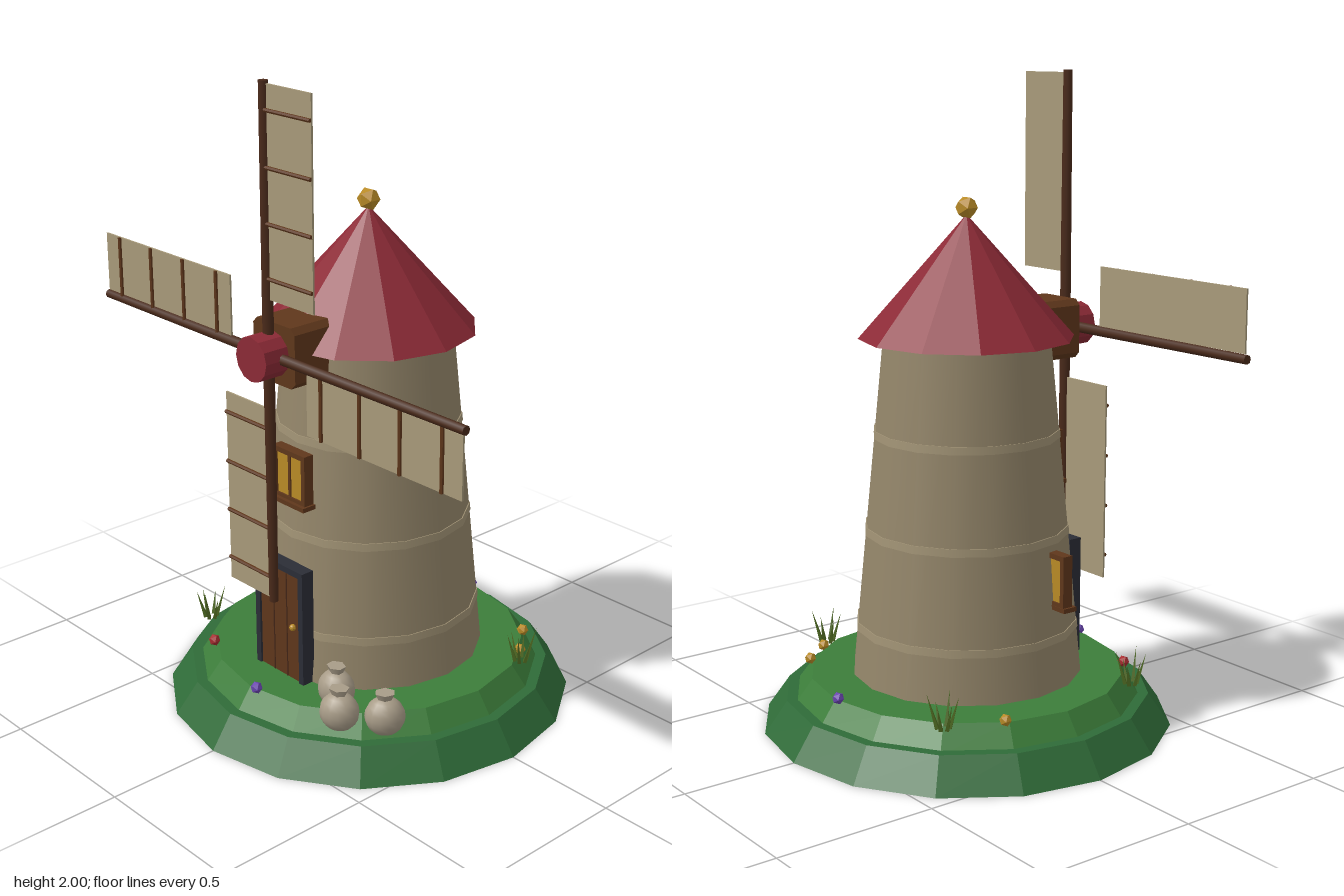
import * as THREE from 'three';

const mat = (color, extra = {}) => new THREE.MeshStandardMaterial({ color, ...extra });
const M = {
  grassDark: mat(0x2f6b38, { flatShading: true }),
  grass: mat(0x3c7d3a, { flatShading: true }),
  stone: mat(0x94866a),
  band: mat(0xa09274),
  roof: mat(0x8c2a36, { flatShading: true }),
  wood: mat(0x5f371b, { flatShading: true }),
  darkWood: mat(0x4a2a1a),
  cloth: mat(0xa89a7a, { side: THREE.DoubleSide }),
  iron: mat(0x2b2d36),
  gold: mat(0xb88a26, { flatShading: true }),
  sack: mat(0xa89c88),
  blade: mat(0x4f6a22, { flatShading: true, side: THREE.DoubleSide }),
  purple: mat(0x6a45b0, { flatShading: true }),
  red: mat(0xa82c30, { flatShading: true }),
};
const GROUND = 0.165;

function add(parent, name, geometry, material, x = 0, y = 0, z = 0) {
  const mesh = new THREE.Mesh(geometry, material);
  mesh.name = name;
  mesh.position.set(x, y, z);
  parent.add(mesh);
  return mesh;
}
function group(parent, name, x = 0, y = 0, z = 0) {
  const g = new THREE.Group();
  g.name = name;
  g.position.set(x, y, z);
  parent.add(g);
  return g;
}
const box = (w, h, d) => new THREE.BoxGeometry(w, h, d);
const cyl = (rt, rb, h, n, open = false) => new THREE.CylinderGeometry(rt, rb, h, n, 1, open);
const towerRadius = (y) => 0.358 - (y - GROUND) * 0.097;

// One sail: spar pointing up from the hub, cloth on its +x side
function addSail(parent, angle) {
  const sail = group(parent, 'sail');
  sail.rotation.z = angle;
  add(sail, 'spar', cyl(0.014, 0.017, 0.79, 8), M.darkWood, 0, 0.395, 0);
  add(sail, 'sailCloth', box(0.185, 0.615, 0.006), M.cloth, 0.108, 0.475, 0);
  for (let i = 0; i < 4; i++) {
    const slat = add(sail, 'slat', cyl(0.006, 0.006, 0.19, 6), M.wood, 0.105, 0.23 + i * 0.16, 0.006);
    slat.rotation.z = Math.PI / 2;
  }
}

// Window with frame bars, glowing pane, mullion and sill
function addWindow(parent, x, y, z) {
  const w = group(parent, 'window', x, y, z);
  add(w, 'pane', box(0.125, 0.14, 0.022), M.gold);
  for (const s of [-1, 1]) {
    add(w, 'frameSide', box(0.016, 0.16, 0.034), M.wood, s * 0.064, 0, 0);
    add(w, 'frameRail', box(0.144, 0.016, 0.034), M.wood, 0, s * 0.074, 0);
  }
  add(w, 'mullion', box(0.01, 0.14, 0.03), M.wood);
  add(w, 'sill', box(0.158, 0.014, 0.048), M.wood, 0, -0.084, 0.005);
}

// Tied sack with a flared neck
function addSack(parent, x, z, turn) {
  const s = group(parent, 'sack', x, GROUND + 0.06, z);
  s.rotation.y = turn;
  s.scale.z = 0.85;
  add(s, 'sackBody', new THREE.SphereGeometry(0.06, 14, 10), M.sack);
  add(s, 'sackNeck', cyl(0.031, 0.02, 0.025, 6), M.sack, 0, 0.064, 0);
}

// Tuft of narrow leaning blades
function addTuft(parent, x, z) {
  const t = group(parent, 'grassTuft', x, GROUND, z);
  for (let i = 0; i < 6; i++) {
    const h = 0.075 + 0.035 * ((i * 3) % 4) / 3;
    const blade = new THREE.ConeGeometry(0.008, h, 4).translate(0, h / 2, 0);
    const a = i * 1.05;
    const b = add(t, 'grassBlade', blade, M.blade, Math.cos(a) * 0.018, 0, Math.sin(a) * 0.018);
    b.rotation.set(Math.sin(a) * 0.28, 0, -Math.cos(a) * 0.28);
  }
}

export function createModel() {
  const root = new THREE.Group();
  root.name = 'windmill';

  // Two-tier grassy mound
  add(root, 'moundBase', cyl(0.57, 0.64, 0.1, 16), M.grassDark, 0, 0.05, 0);
  add(root, 'moundTop', cyl(0.49, 0.545, 0.075, 16), M.grass, 0, 0.1265, 0);

  // Tapered tower with slightly raised stone bands
  const top = 1.215;
  add(root, 'tower', cyl(towerRadius(top), towerRadius(GROUND), top - GROUND, 16), M.stone, 0, (top + GROUND) / 2, 0);
  for (const y of [0.32, 0.62, 0.92]) {
    add(root, 'stoneBand', cyl(towerRadius(y + 0.012) + 0.003, towerRadius(y - 0.012) + 0.003, 0.024, 16), M.band, 0, y, 0);
  }

  // Roof and finial
  add(root, 'roof', new THREE.ConeGeometry(0.33, 0.37, 12), M.roof, 0, 1.395, 0);
  add(root, 'finial', new THREE.IcosahedronGeometry(0.036, 0), M.gold, 0, 1.6, 0);

  // Chamfered axle housing
  const c = 0.018, h = 0.092;
  const outline = new THREE.Shape([
    [-h + c, -h], [h - c, -h], [h, -h + c], [h, h - c],
    [h - c, h], [-h + c, h], [-h, h - c], [-h, -h + c],
  ].map(([x, y]) => new THREE.Vector2(x, y)));
  const housing = new THREE.ExtrudeGeometry(outline, { depth: 0.14, bevelEnabled: false });
  add(root, 'axleHousing', housing, M.wood, 0, 1.21, 0.23);

  // Rotor: hub and four sails
  const rotor = group(root, 'rotor', 0, 1.21, 0.39);
  const hub = add(rotor, 'hub', cyl(0.068, 0.068, 0.085, 12), M.roof, 0, 0, 0.023);
  hub.rotation.x = Math.PI / 2;
  for (let i = 0; i < 4; i++) addSail(rotor, (-i * Math.PI) / 2);

  // Door with iron surround
  const door = group(root, 'door', 0, GROUND, 0.35);
  add(door, 'doorPanel', box(0.18, 0.355, 0.03), M.wood, 0, 0.1775, 0);
  for (const s of [-1, 1]) {
    add(door, 'doorJamb', box(0.02, 0.375, 0.044), M.iron, s * 0.1, 0.1875, 0);
    add(door, 'doorGroove', box(0.004, 0.35, 0.004), M.darkWood, s * 0.03, 0.175, 0.015);
  }
  add(door, 'doorLintel', box(0.22, 0.02, 0.044), M.iron, 0, 0.365, 0);
  add(door, 'doorKnob', new THREE.SphereGeometry(0.011, 8, 6), M.gold, 0.062, 0.18, 0.02);

  addWindow(root, 0, 0.81, 0.307);
  addWindow(root, -0.295, 0.505, 0.1);

  // Sacks
  addSack(root, 0.265, 0.375, 0.1);
  addSack(root, 0.367, 0.455, 0.5);
  addSack(root, 0.475, 0.375, 0.8);

  // Flowers and grass tufts
  const flowers = [
    ['purple', 0.385, 0.31], ['purple', 0.03, 0.49], ['purple', -0.015, -0.49],
    ['gold', 0.33, -0.37], ['gold', 0.41, -0.27], ['gold', -0.45, -0.2], ['red', -0.29, 0.4],
  ];
  for (const [color, x, z] of flowers) {
    add(root, 'flower', new THREE.IcosahedronGeometry(0.019, 0), M[color], x, GROUND + 0.007, z);
  }
  for (const [x, z] of [[-0.38, -0.37], [0.45, -0.23], [-0.435, 0.3]]) addTuft(root, x, z);

  return root;
}
